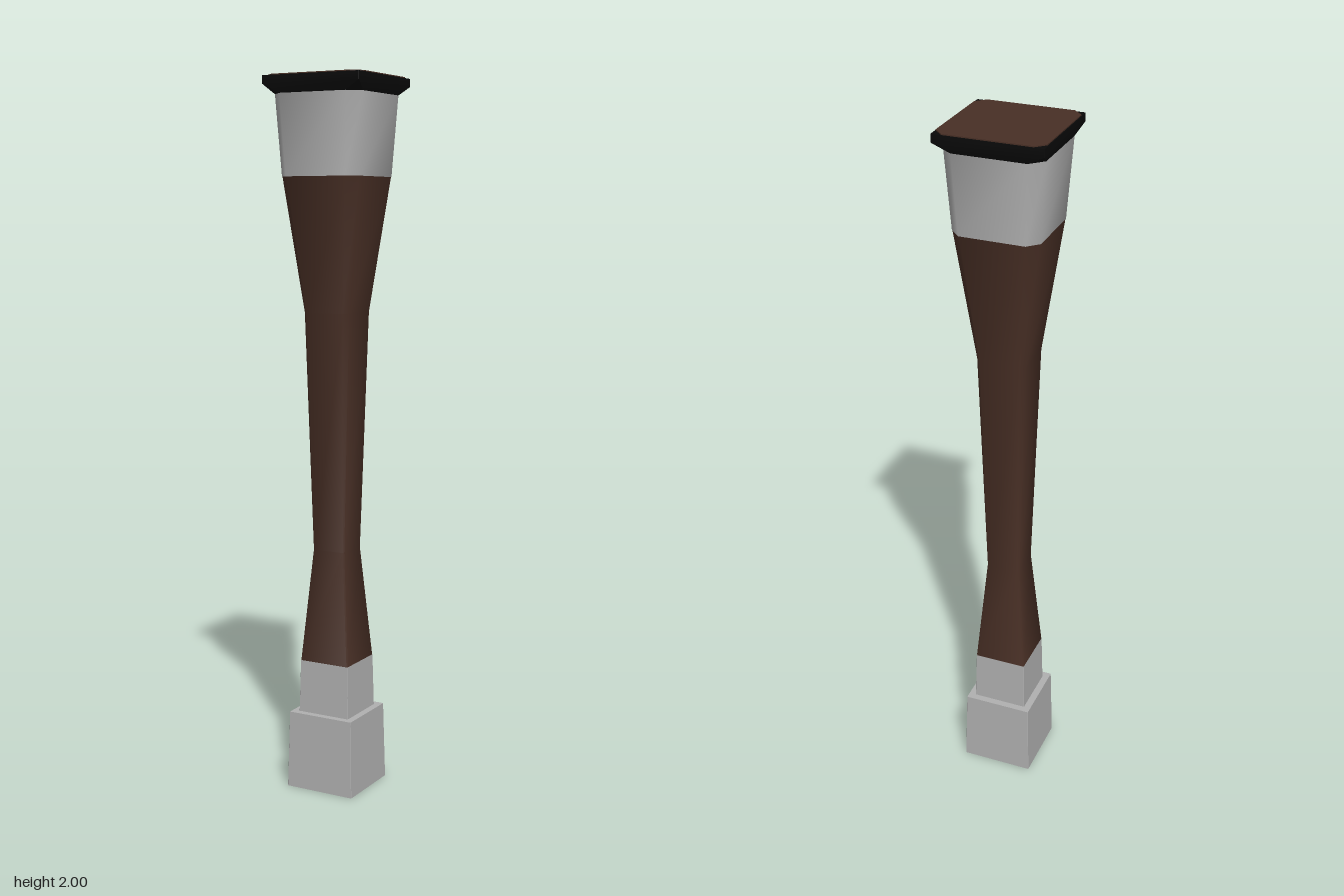
import * as THREE from 'three';
import { toCreasedNormals } from 'three/addons/utils/BufferGeometryUtils.js';

const makeMaterial = (name, color) => {
  const m = new THREE.MeshStandardMaterial({ color });
  m.name = name;
  return m;
};

// Square cross-section with chamfered corners, counter-clockwise from above
function ring([y, half, chamfer]) {
  const c = Math.max(chamfer, 0.001);
  const points = [];
  for (let k = 0; k < 4; k++) {
    for (const [u, v] of [[half, half - c], [half - c, half]]) {
      const p = new THREE.Vector3(u, y, -v);
      points.push(p.applyAxisAngle(new THREE.Vector3(0, 1, 0), k * Math.PI / 2));
    }
  }
  return points;
}

// Closed solid through sections of [height, half width, corner chamfer]
function loft(sections, crease) {
  const rings = sections.map(ring);
  const positions = [];
  const tri = (...pts) => pts.forEach(p => positions.push(p.x, p.y, p.z));
  for (let i = 0; i < rings.length - 1; i++) {
    const lo = rings[i], hi = rings[i + 1];
    for (let j = 0; j < 8; j++) {
      const n = (j + 1) % 8;
      tri(lo[j], lo[n], hi[n]);
      tri(lo[j], hi[n], hi[j]);
    }
  }
  const bottom = rings[0], top = rings[rings.length - 1];
  for (let j = 1; j < 7; j++) {
    tri(bottom[0], bottom[j + 1], bottom[j]);
    tri(top[0], top[j], top[j + 1]);
  }
  const geometry = new THREE.BufferGeometry();
  geometry.setAttribute('position', new THREE.Float32BufferAttribute(positions, 3));
  return toCreasedNormals(geometry, crease);
}

export function createModel() {
  const wood = makeMaterial('dark wood', 0x482f25);
  const metal = makeMaterial('grey metal', 0xb0b0b0);
  const black = makeMaterial('black trim', 0x0a0a0a);

  const model = new THREE.Group();
  model.name = 'squareLeg';
  const add = (name, material, sections, crease = 0.5) => {
    const mesh = new THREE.Mesh(loft(sections, crease), material);
    mesh.name = name;
    model.add(mesh);
  };

  // Stepped metal foot
  add('foot', metal, [[0, 0.104, 0], [0.22, 0.099, 0]]);
  add('footCollar', metal, [[0.22, 0.079, 0], [0.37, 0.0757, 0]]);

  // Waisted wooden shaft, its chamfers widening upward
  add('shaft', wood, [
    [0.37, 0.0757, 0.003], [0.69, 0.049, 0.003],
    [1.36, 0.07, 0.013], [1.73, 0.12, 0.03],
  ], 0.9);

  // Metal band under the top plate
  add('upperBand', metal, [[1.73, 0.121, 0.03], [1.95, 0.136, 0.035]], 0.9);

  // Flared top plate with a wooden inlay
  add('topPlate', black, [[1.95, 0.136, 0.035], [1.975, 0.148, 0], [1.997, 0.148, 0]]);
  add('topInlay', wood, [[1.997, 0.146, 0.026], [2, 0.146, 0.026]]);

  // Corners face front, back and sides
  model.rotation.y = Math.PI / 4;
  return model;
}
